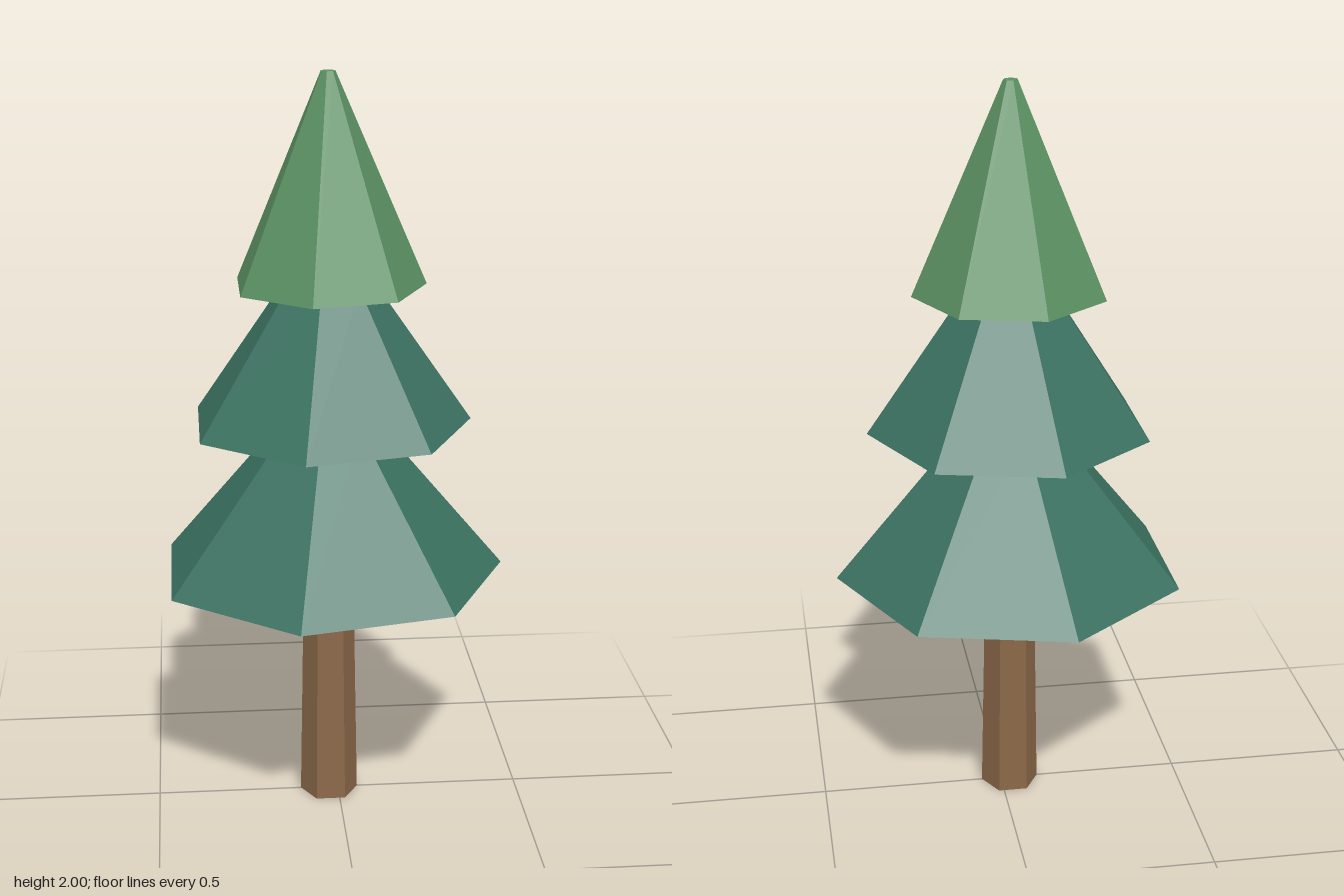
import * as THREE from 'three';

export function createModel() {
  const makeMaterial = (name, color) => {
    const m = new THREE.MeshStandardMaterial({ color, flatShading: true });
    m.name = name;
    return m;
  };
  const bark = makeMaterial('bark brown', 0x8a6848);
  const darkNeedles = makeMaterial('dark green', 0x3b7261);
  const lightNeedles = makeMaterial('light green', 0x5b9162);

  const tree = new THREE.Group();
  tree.name = 'tree';

  // Tapered prism from y0 to y1, with one corner pointing along +x
  function addFrustum(name, sides, r0, r1, y0, y1, material) {
    const geometry = new THREE.CylinderGeometry(r1, r0, y1 - y0, sides, 1, false, Math.PI / 2);
    const mesh = new THREE.Mesh(geometry, material);
    mesh.name = name;
    mesh.position.set(-0.025, (y0 + y1) / 2, 0);
    tree.add(mesh);
  }

  // Six-sided trunk
  addFrustum('trunk', 6, 0.079, 0.067, 0, 0.68, bark);

  // Three seven-sided tiers of branches; each top tucks into the tier above
  addFrustum('lowerBranches', 7, 0.472, 0.118, 0.667, 1.09, darkNeedles);
  addFrustum('middleBranches', 7, 0.38, 0.118, 1.08, 1.46, darkNeedles);
  addFrustum('upperBranches', 7, 0.257, 0.019, 1.45, 2, lightNeedles);

  return tree;
}
